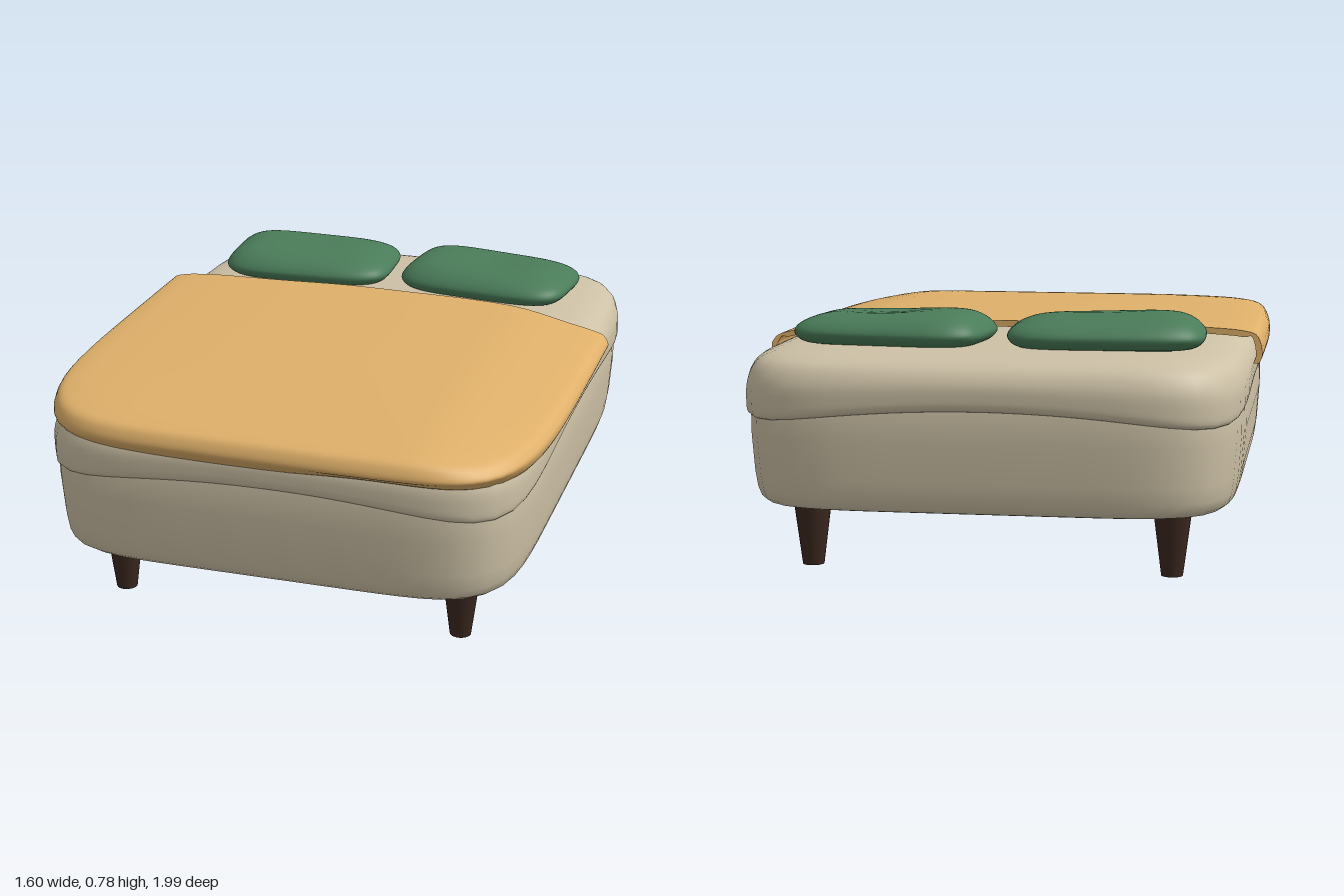
import * as THREE from 'three';

const smooth = THREE.MathUtils.smoothstep;
const paint = (color, side = THREE.FrontSide) =>
  new THREE.MeshStandardMaterial({ color, side, roughness: 0.9 });

// Skin a stack of rings of [x, y, z] points
function loft(rings, closed) {
  const n = rings[0].length, index = [];
  for (let j = 0; j < rings.length - 1; j++) {
    for (let i = 0; i < (closed ? n : n - 1); i++) {
      const a = j * n + i, b = j * n + (i + 1) % n;
      index.push(a, a + n, b, b, a + n, b + n);
    }
  }
  const geo = new THREE.BufferGeometry();
  geo.setAttribute('position', new THREE.Float32BufferAttribute(rings.flat(2), 3));
  geo.setIndex(index);
  geo.computeVertexNormals();
  return geo;
}

// Point on a unit superellipse
function squircle(angle, n) {
  const c = Math.cos(angle), s = Math.sin(angle);
  const r = (Math.abs(c) ** n + Math.abs(s) ** n) ** (-1 / n);
  return [c * r, s * r];
}

// Densify a profile of [inset, y] points with a smooth curve
function curve(points, count) {
  return new THREE.CatmullRomCurve3(points.map(([d, y]) => new THREE.Vector3(d, y, 0)), false, 'centripetal')
    .getPoints(count).map(p => [p.x, p.y]);
}

// Closed cushion: rounded rectangle rings inset along a profile
function cushion(hw, hz, n, profile, shapeY = (x, y) => y) {
  const rings = profile.map(([d, y]) => Array.from({ length: 96 }, (_, i) => {
    const [u, v] = squircle(i / 96 * Math.PI * 2, n);
    const x = u * Math.max(0, hw - d), z = v * Math.max(0, hz - d);
    return [x, shapeY(x / hw, y, z / hz), z];
  }));
  return loft(rings, true);
}

export function createModel() {
  const group = new THREE.Group();
  group.name = 'bed';
  const cream = paint(0xcdc1a6), green = paint(0x4a7c59);
  const orange = paint(0xdfb06a, THREE.DoubleSide), wood = paint(0x3a271e);

  const add = (name, geo, mat, x = 0, y = 0, z = 0) => {
    const mesh = new THREE.Mesh(geo, mat);
    mesh.name = name;
    mesh.position.set(x, y, z);
    group.add(mesh);
    return mesh;
  };

  // Upholstered base
  const baseProfile = [[0.76, 0.2], [0.3, 0.2], [0.06, 0.202], [0.04, 0.207], [0.025, 0.22], [0.015, 0.25],
    [0.008, 0.3], [0, 0.42], [0, 0.52], [0.02, 0.58], [0.76, 0.58]];
  add('base', cushion(0.76, 0.955, 7, baseProfile), cream, 0, 0, -0.025);

  // Mattress, its lower lip sagging at the corners
  const mattressProfile = curve([[0.3, 0.535], [0.06, 0.53], [0.02, 0.518], [0.004, 0.53], [0, 0.56], [0.004, 0.6],
    [0.03, 0.64], [0.08, 0.664], [0.2, 0.682], [0.45, 0.688], [0.77, 0.69]], 40);
  const sag = (u, y, v) => y - 0.075 * u * u * v * v * (1 - smooth(y, 0.52, 0.66));
  add('mattress', cushion(0.77, 0.97, 7, mattressProfile, sag), cream, 0, 0, -0.03);

  // Blanket: open on the head side, hanging over the other three
  const hw = 0.8, depth = 1.33;
  const outer = curve([[0.01, 0.58], [0.002, 0.6], [0, 0.63], [0.004, 0.66], [0.02, 0.69], [0.06, 0.702],
    [0.15, 0.71], [0.35, 0.717], [0.6, 0.721], [0.8, 0.722]], 36);
  const inner = outer.map(([d, y]) => {
    const lid = smooth(d, 0, 0.06);
    return [Math.min(hw, d + 0.02 * (1 - lid)), y - 0.02 * lid];
  });
  const SEG = 80;
  const blanketRing = ([d, y]) => Array.from({ length: SEG + 1 }, (_, i) => {
    const [u, v] = squircle(i / SEG * Math.PI, 6);
    const f = Math.abs(v) * (1 - d / depth);
    const x = u * (hw - d);
    const back = -0.365 + 0.055 * smooth(x, 0.1, 0.8) + 0.004 * Math.sin(x * 12);
    const hem = 1 - smooth(y, 0.575, 0.64);
    const front = 0.985 + 0.03 * x - 0.04 * hem;
    const lift = hem * (0.02 * (1 - f) + 0.02 * f ** 4 * Math.exp(-(((x - 0.35) / 0.3) ** 2)));
    const droop = 0.035 * smooth(x, 0.45, 0.8) * smooth(y, 0.6, 0.7) + 0.015 * smooth(f, 0.75, 1) * smooth(y, 0.6, 0.7);
    return [x, y + lift - droop, back + f * (front - back)];
  });
  const outerRings = outer.map(blanketRing), innerRings = inner.map(blanketRing);
  add('blanket', loft([...innerRings.slice().reverse(), ...outerRings], false), orange);

  // Strip closing the blanket's edge at the head side
  const edge = rings => [...rings.map(r => r[0]), ...rings.map(r => r[SEG]).reverse()];
  add('blanketEdge', loft([edge(innerRings), edge(outerRings)], false), orange);

  // Pillows, softly dented on top
  const pillowProfile = curve([[0.2, 0], [0.08, 0], [0.02, 0.012], [0, 0.038], [0.016, 0.065],
    [0.06, 0.09], [0.12, 0.102], [0.2, 0.106]], 28);
  const dent = amount => (u, y, v) =>
    y - amount * smooth(y, 0.05, 0.1) * Math.exp(-((u - 0.1) ** 2 + v * v) * 6) - 0.008 * u * smooth(y, 0.05, 0.1);
  const pillows = [
    ['rightPillow', -0.342, -0.628, 0.3, 0.2, 0.04, 0.003],
    ['leftPillow', 0.315, -0.62, 0.3, 0.195, -0.12, 0.012],
  ];
  for (const [name, x, z, w, h, turn, amount] of pillows) {
    add(name, cushion(w, h, 4.2, pillowProfile, dent(amount)), green, x, 0.677, z).rotation.y = turn;
  }

  // Tapered legs
  for (const [side, x] of [['left', 0.555], ['right', -0.555]]) {
    for (const [end, z] of [['Front', 0.68], ['Back', -0.75]]) {
      add(side + end + 'Leg', new THREE.CylinderGeometry(0.06, 0.033, 0.21, 24), wood, x, 0.105, z);
    }
  }
  return group;
}
